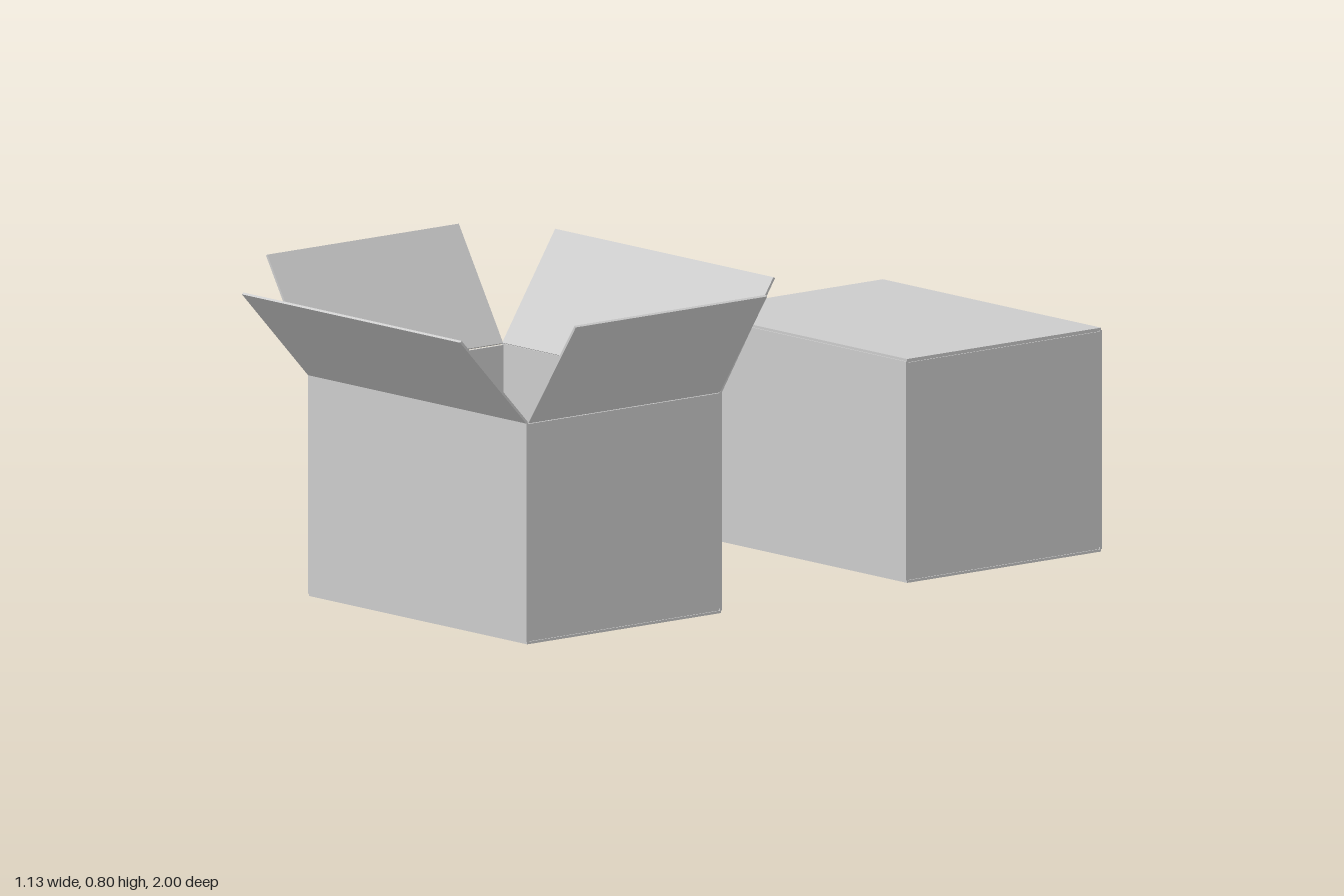
import * as THREE from 'three';

const W = 0.796, D = 0.61, T = 0.006; // carton width, depth, board thickness
const Y0 = 0.006, Y1 = 0.534; // bottom and top hinge heights
const material = new THREE.MeshStandardMaterial({ color: 0xcccccc, flatShading: true });

function board(name, w, h, d, x, y, z) {
  const geometry = new THREE.BoxGeometry(w, h, d);
  geometry.translate(x, y, z);
  const mesh = new THREE.Mesh(geometry, material);
  mesh.name = name;
  return mesh;
}

// Each side faces +z locally, then is turned to its place around the carton.
const SIDES = [
  { name: 'front', turn: 0, out: D / 2, wide: W, long: 0.303, inner: 0 },
  { name: 'left', turn: Math.PI / 2, out: W / 2, wide: D - 0.014, long: 0.31, inner: 1 },
  { name: 'back', turn: Math.PI, out: D / 2, wide: W, long: 0.303, inner: 0 },
  { name: 'right', turn: -Math.PI / 2, out: W / 2, wide: D - 0.014, long: 0.31, inner: 1 },
];

// A flap hinged on its near edge; 0 degrees points outwards, 180 folds it shut.
function flap(name, side, y, degrees) {
  const mesh = board(name, side.wide, T, side.long, 0, 0, side.long / 2);
  mesh.position.set(0, y, side.out - T / 2);
  mesh.rotation.x = -THREE.MathUtils.degToRad(degrees);
  return mesh;
}

function carton(name, z, topAngles) {
  const group = new THREE.Group();
  group.name = name;
  group.position.set(-0.0075, 0, z);
  SIDES.forEach((side, i) => {
    const panel = new THREE.Group();
    panel.name = side.name + 'Side';
    panel.rotation.y = side.turn;
    // Side walls are shorter, leaving room for the flaps beneath the outer ones
    const low = Y0 + side.inner * T, high = Y1 - side.inner * T / 2;
    const wallWidth = side.inner ? D - 2 * T : W;
    panel.add(board(side.name + 'Wall', wallWidth, high - low, T, 0, (low + high) / 2, side.out - T / 2));
    // Bottom flaps, with the side pair lying on the front and back pair
    panel.add(flap(side.name + 'BottomFlap', side, T / 2 + side.inner * T, 180));
    // Top flaps, open or closed
    const angle = topAngles[i];
    const topY = angle === 180 ? Y1 + T / 2 - side.inner * T : Y1;
    panel.add(flap(side.name + 'TopFlap', side, topY, angle));
    group.add(panel);
  });
  return group;
}

export function createModel() {
  const model = new THREE.Group();
  model.name = 'cardboardBoxes';
  model.add(carton('openBox', 0.49, [47, 56, 57, 58.5]));
  model.add(carton('closedBox', -0.693, [180, 180, 180, 180]));
  return model;
}
